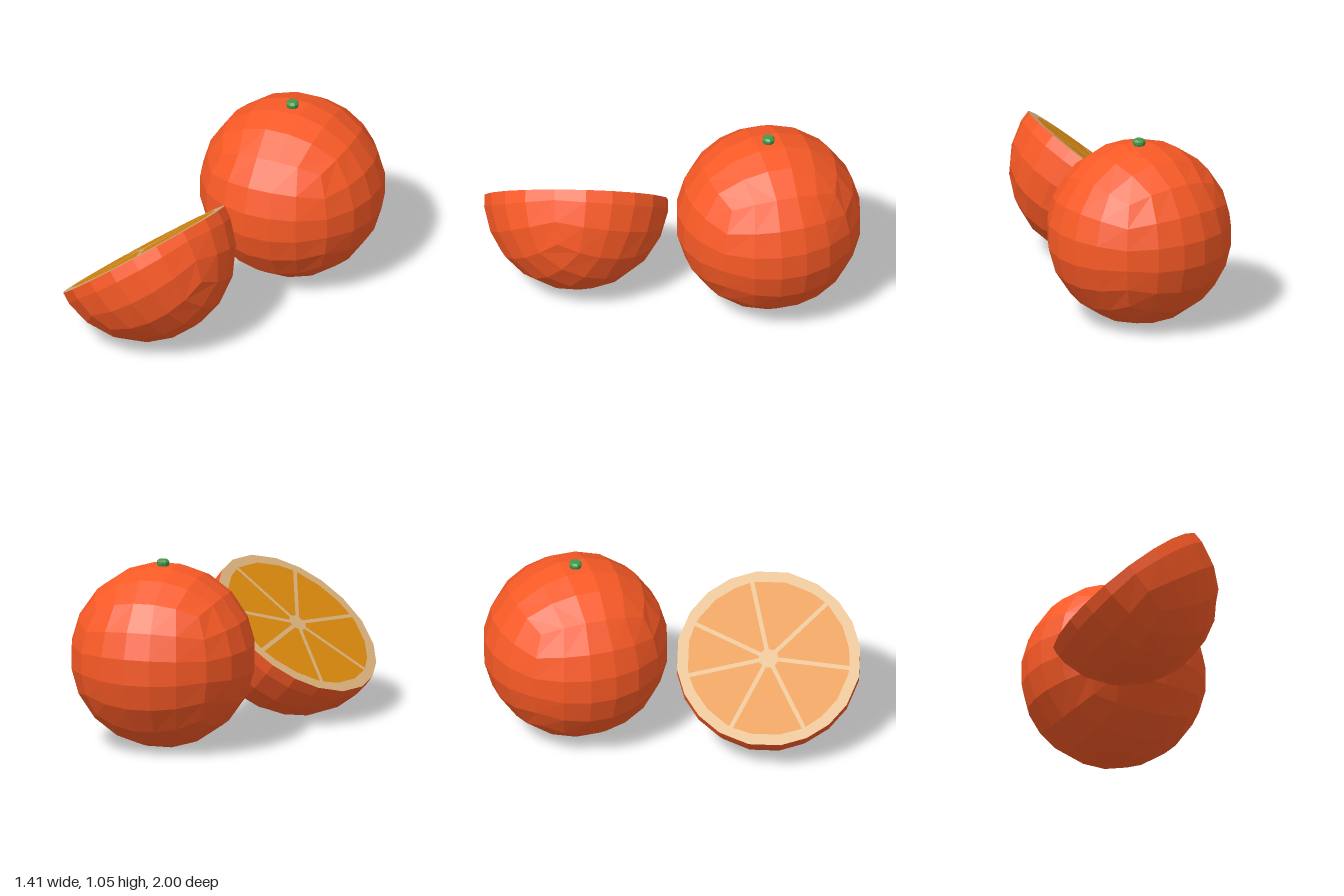
import * as THREE from 'three';

const R = 0.52;
const material = (color) => new THREE.MeshStandardMaterial({ color, flatShading: true });

// Rounds a point of the cube -1..1 into a sphere of radius R
function spherify(x, y, z) {
  const f = (a, b, c) => a * Math.sqrt(1 - b * b / 2 - c * c / 2 + b * b * c * c / 3) * R;
  return new THREE.Vector3(f(x, y, z), f(y, z, x), f(z, x, y));
}

// Quad sphere; when halved, it is cut open at y = 0
function fruitGeometry(halved) {
  const g = new THREE.BoxGeometry(2, 2, 2, 5, 5, 5).toNonIndexed();
  const p = g.attributes.position;
  const out = [];
  for (let i = 0; i < p.count; i += 3) {
    const tri = [0, 1, 2].map((k) => spherify(p.getX(i + k), p.getY(i + k), p.getZ(i + k)));
    if (halved && tri.every((v) => v.y > 0)) continue;
    for (const v of tri) out.push(v.x, halved ? Math.min(v.y, 0) : v.y, v.z);
  }
  const geo = new THREE.BufferGeometry();
  geo.setAttribute('position', new THREE.Float32BufferAttribute(out, 3));
  geo.computeVertexNormals();
  return geo;
}

// Outline of the cut, counter-clockwise
function rimPoints() {
  const pts = [];
  for (let q = 0; q < 4; q++) {
    for (const t of [-1, -0.6, -0.2, 0.2, 0.6]) {
      const v = spherify(1, 0.2, t);
      pts.push(new THREE.Vector2(v.x, v.z).rotateAround(new THREE.Vector2(), q * Math.PI / 2));
    }
  }
  return pts;
}

function flat(points, color, name, y) {
  const mesh = new THREE.Mesh(new THREE.ShapeGeometry(new THREE.Shape(points)).rotateX(-Math.PI / 2), material(color));
  mesh.position.y = y;
  mesh.name = name;
  return mesh;
}

export function createModel() {
  const root = new THREE.Group();
  root.name = 'oranges';
  const skin = material(0xf95a26);

  // Whole fruit with its stem
  const whole = new THREE.Group();
  whole.name = 'wholeOrange';
  const peel = new THREE.Mesh(fruitGeometry(false), skin);
  peel.name = 'peel';
  const profile = [[0.026, 0.49], [0.036, 0.522], [0.036, 0.534], [0.026, 0.545], [0, 0.545]];
  const stem = new THREE.Mesh(
    new THREE.LatheGeometry(profile.map(([x, y]) => new THREE.Vector2(x, y)), 8), material(0x44984a));
  stem.name = 'stem';
  whole.add(peel, stem);
  whole.position.set(0.19, 0.51, -0.49);
  root.add(whole);

  // Half fruit: peel and pith
  const half = new THREE.Group();
  half.name = 'halfOrange';
  const halfPeel = new THREE.Mesh(fruitGeometry(true), skin);
  halfPeel.name = 'halfPeel';
  const rim = rimPoints();
  half.add(halfPeel, flat(rim, 0xdcb27d, 'pith', 0));

  // Pulp segments between the membranes
  const spokes = [160, 210, 263, 320, 372, 429, 481, 520].map(THREE.MathUtils.degToRad);
  const gap = 0.012, inner = 0.055, outer = 0.455;
  const polar = (r, a) => new THREE.Vector2(r * Math.cos(a), r * Math.sin(a));
  for (let i = 0; i < 7; i++) {
    const a = spokes[i], b = spokes[i + 1];
    const dIn = Math.asin(gap / inner), dOut = Math.asin(gap / outer);
    const arc = rim
      .map((v) => ({ v, t: THREE.MathUtils.euclideanModulo(v.angle() - a, Math.PI * 2) }))
      .filter(({ t }) => t > dOut + 0.02 && t < b - a - dOut - 0.02)
      .sort((m, n) => m.t - n.t)
      .map(({ v }) => v.clone().multiplyScalar(0.88));
    const points = [polar(inner, a + dIn), polar(outer, a + dOut), ...arc, polar(outer, b - dOut), polar(inner, b - dIn)];
    half.add(flat(points, 0xdd8a0e, 'pulpSegment', 0.003));
  }

  // Lean the cut face up, to the side and slightly back
  const up = new THREE.Vector3(-0.6, 0.77, -0.2).normalize();
  const xAxis = new THREE.Vector3(-0.348, -0.13, 0.7).projectOnPlane(up).normalize().applyAxisAngle(up, Math.PI / 4);
  const zAxis = new THREE.Vector3().crossVectors(xAxis, up);
  half.quaternion.setFromRotationMatrix(new THREE.Matrix4().makeBasis(xAxis, up, zAxis));
  half.position.set(-0.295, 0.515, 0.485);
  root.add(half);
  return root;
}
